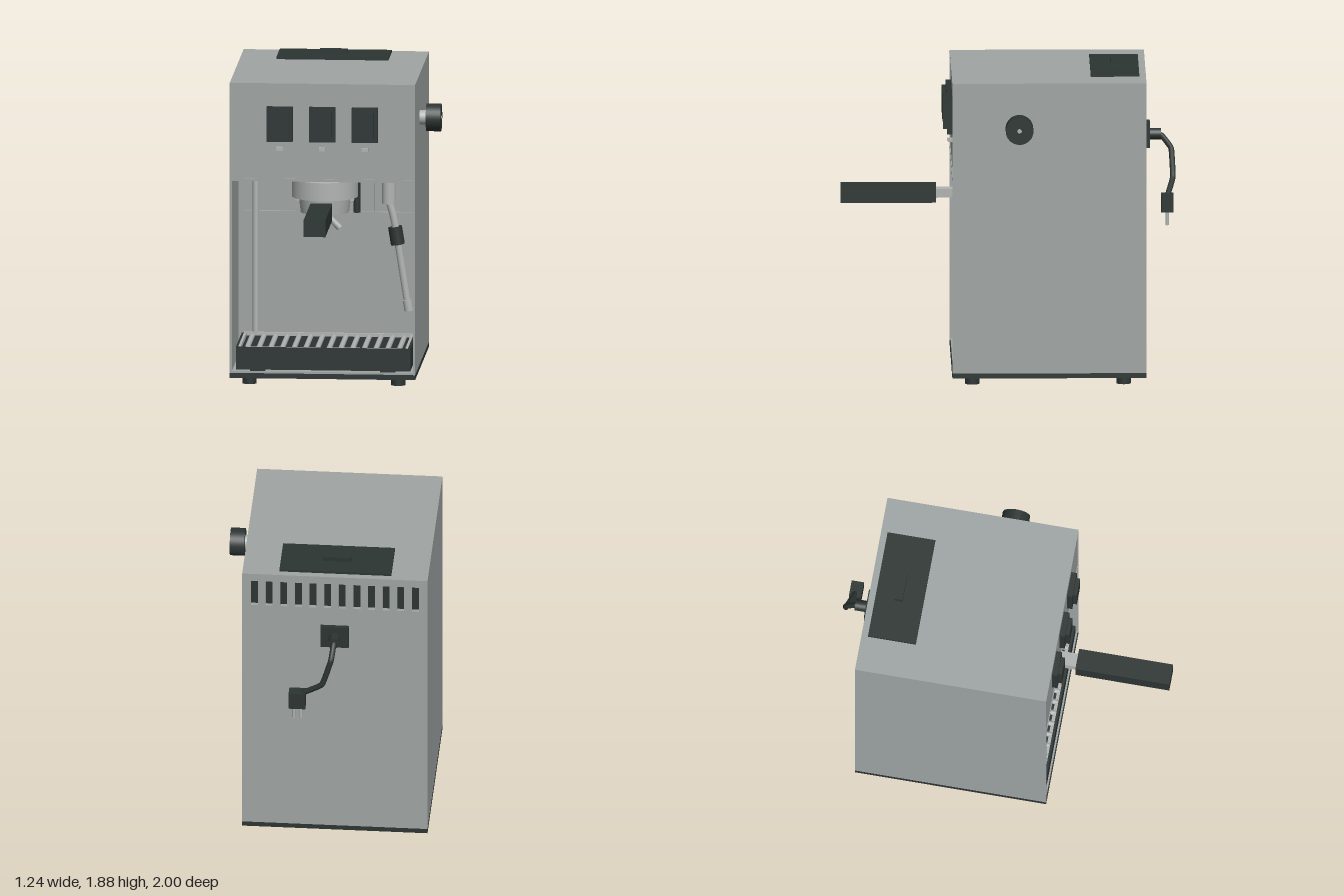
import * as THREE from 'three';

export function createModel() {
  const model = new THREE.Group();
  const mat = (name, color) => {
    const m = new THREE.MeshStandardMaterial({ color });
    m.name = name;
    return m;
  };
  const steel = mat('brushed steel', 0xa0a6a5);
  const chrome = mat('polished steel', 0xb0b4b3);
  const dark = mat('dark plastic', 0x2c3533);
  const CX = -0.065; // centre line of the housing

  const add = (name, geo, m) => {
    const mesh = new THREE.Mesh(geo, m);
    mesh.name = name;
    model.add(mesh);
    return mesh;
  };
  // Box given by its extents on each axis
  const box = (name, m, x0, x1, y0, y1, z0, z1) => {
    const mesh = add(name, new THREE.BoxGeometry(x1 - x0, y1 - y0, z1 - z0), m);
    mesh.position.set((x0 + x1) / 2, (y0 + y1) / 2, (z0 + z1) / 2);
    return mesh;
  };
  // Cylinder between two points
  const rod = (name, m, a, b, r0, r1 = r0, sides = 24) => {
    const p = new THREE.Vector3(...a), q = new THREE.Vector3(...b);
    const d = q.clone().sub(p);
    const mesh = add(name, new THREE.CylinderGeometry(r1, r0, d.length(), sides), m);
    mesh.position.copy(p).add(q).multiplyScalar(0.5);
    mesh.quaternion.setFromUnitVectors(new THREE.Vector3(0, 1, 0), d.normalize());
    return mesh;
  };
  const tube = (name, m, pts, r) => {
    const curve = new THREE.CatmullRomCurve3(pts.map(p => new THREE.Vector3(...p)), false, 'catmullrom', 0.15);
    return add(name, new THREE.TubeGeometry(curve, 32, r, 12), m);
  };

  // Housing shell
  box('basePlate', dark, -0.62, 0.49, 0.05, 0.08, -0.82, 0.34);
  box('rightWall', steel, -0.62, -0.607, 0.08, 1.84, -0.82, 0.34);
  box('leftWall', steel, 0.477, 0.49, 0.08, 1.84, -0.82, 0.34);
  box('topPanel', steel, -0.607, 0.477, 1.828, 1.84, -0.82, 0.34);
  box('frontPanel', steel, -0.607, 0.477, 1.26, 1.828, 0.31, 0.335);
  box('frontLip', steel, -0.607, 0.477, 1.245, 1.262, 0.31, 0.34);
  box('alcoveCeiling', steel, -0.607, 0.477, 1.245, 1.258, -0.2, 0.31);
  box('alcoveFloor', steel, -0.607, 0.477, 0.08, 0.092, -0.2, 0.335);
  box('alcoveBack', steel, -0.607, 0.477, 0.092, 1.245, -0.22, -0.2);
  box('tankPanel', steel, -0.565, 0.44, 0.24, 0.975, -0.2, -0.175);
  box('groupBracket', steel, -0.33, 0.21, 0.975, 1.245, -0.2, -0.19);

  // Back panel with ventilation slots
  const back = new THREE.Shape();
  back.moveTo(-0.607, 0.08).lineTo(0.477, 0.08).lineTo(0.477, 1.828).lineTo(-0.607, 1.828).closePath();
  for (let i = 0; i < 12; i++) {
    const x = CX + (i - 5.5) * 0.0876;
    const slot = new THREE.Path();
    slot.moveTo(x - 0.021, 1.62).lineTo(x - 0.021, 1.79).lineTo(x + 0.021, 1.79).lineTo(x + 0.021, 1.62).closePath();
    back.holes.push(slot);
  }
  add('backPanel', new THREE.ExtrudeGeometry(back, { depth: 0.025, bevelEnabled: false }), steel).position.z = -0.82;
  box('ventBacking', dark, -0.6, 0.47, 1.58, 1.82, -0.785, -0.776);

  // Feet
  for (const x of [-0.51, 0.38]) for (const z of [0.22, -0.685])
    rod('foot', dark, [x, 0, z], [x, 0.05, z], 0.043);

  // Reservoir lid with its grip
  box('reservoirLid', dark, -0.4, 0.27, 1.84, 1.854, -0.78, -0.49);
  box('lidGrip', dark, -0.15, 0.017, 1.854, 1.88, -0.665, -0.615);

  // Rocker switches and indicator lights
  for (const x of [-0.32, CX, 0.19]) {
    box('switchBezel', dark, x - 0.078, x + 0.078, 1.49, 1.7, 0.335, 0.368);
    box('switchRocker', dark, x - 0.055, x + 0.055, 1.52, 1.675, 0.368, 0.392);
    box('indicatorLight', chrome, x - 0.02, x + 0.02, 1.435, 1.455, 0.335, 0.363);
  }

  // Steam knob on the side
  rod('knobShaft', chrome, [0.485, 1.575, -0.06], [0.54, 1.575, -0.06], 0.043);
  rod('steamKnob', dark, [0.53, 1.575, -0.06], [0.618, 1.575, -0.06], 0.083, 0.083, 32);
  rod('knobDot', chrome, [0.617, 1.575, -0.06], [0.62, 1.575, -0.06], 0.013);

  // Drip tray: dark tub, rim and bars
  const [tx0, tx1, tz0, tz1] = [-0.585, 0.46, -0.17, 0.325];
  box('trayFront', dark, tx0, tx1, 0.1, 0.235, tz1 - 0.015, tz1);
  box('trayBack', dark, tx0, tx1, 0.1, 0.235, tz0, tz0 + 0.015);
  box('traySide', dark, tx0, tx0 + 0.015, 0.1, 0.235, tz0, tz1);
  box('traySide', dark, tx1 - 0.015, tx1, 0.1, 0.235, tz0, tz1);
  box('trayFloor', dark, tx0, tx1, 0.1, 0.12, tz0, tz1);
  for (const x of [-0.455, 0.325]) box('trayTab', dark, x - 0.045, x + 0.045, 0.085, 0.1, 0.2, 0.325);
  box('grateRim', chrome, tx0 + 0.015, tx1 - 0.015, 0.225, 0.245, tz0 + 0.015, tz0 + 0.035);
  box('grateRim', chrome, tx0 + 0.015, tx1 - 0.015, 0.215, 0.234, tz1 - 0.035, tz1 - 0.015);
  for (const x of [tx0 + 0.015, tx1 - 0.03])
    box('grateRim', chrome, x, x + 0.015, 0.215, 0.24, tz0 + 0.015, tz1 - 0.015);
  for (let i = 0; i < 14; i++) {
    const x = CX + (i - 6.5) * 0.07;
    rod('grateBar', chrome, [x, 0.222, tz0 + 0.02], [x, 0.222, tz1 - 0.02], 0.016, 0.016, 10);
  }

  // Group head and filter holder
  const gz = 0.13;
  rod('groupHead', chrome, [CX, 1.125, gz], [CX, 1.235, gz], 0.198, 0.198, 40);
  rod('groupMount', chrome, [CX, 1.23, gz], [CX, 1.247, gz], 0.16, 0.16, 40);
  rod('filterBasket', chrome, [CX, 1.03, gz], [CX, 1.13, gz], 0.145, 0.158, 40);
  for (const s of [-1, 1])
    box('basketLug', chrome, CX + s * 0.15 - 0.025, CX + s * 0.15 + 0.025, 1.1, 1.145, gz - 0.03, gz + 0.03);
  box('holderNeck', chrome, -0.107, -0.023, 1.053, 1.105, 0.24, 0.44);
  box('holderHandle', dark, -0.13, 0, 1.027, 1.13, 0.43, 1.0);
  for (const s of [-1, 1]) {
    const spout = tube('spout', chrome, [[CX + s * 0.02, 1.04, gz], [CX + s * 0.032, 0.99, gz], [CX + s * 0.088, 0.932, gz]], 0.019);
    spout.material = chrome;
    rod('spoutTip', dark, [CX + s * 0.084, 0.936, gz], [CX + s * 0.086, 0.934, gz], 0.017);
  }

  // Water pipe and hose against the back of the alcove
  rod('waterPipe', chrome, [-0.492, 0.265, -0.05], [-0.492, 1.247, -0.05], 0.019);
  rod('hose', dark, [0.105, 0.975, -0.165], [0.105, 1.245, -0.165], 0.021);

  // Steam wand
  const wz = 0.16;
  rod('wandJoint', chrome, [0.322, 1.09, wz], [0.322, 1.247, wz], 0.042);
  tube('wandPipe', chrome, [[0.322, 1.1, wz], [0.34, 1.04, wz], [0.36, 0.95, wz], [0.435, 0.47, wz]], 0.022);
  rod('wandGrip', dark, [0.374, 0.842, wz], [0.357, 0.948, wz], 0.042);
  rod('wandTip', chrome, [0.441, 0.44, wz], [0.43, 0.505, wz], 0.028);

  // Power inlet, cord and plug
  box('powerInlet', dark, -0.15, 0.02, 1.36, 1.5, -0.848, -0.82);
  rod('cordSleeve', dark, [CX, 1.43, -0.848], [CX, 1.43, -0.915], 0.034);
  tube('powerCord', dark, [[CX, 1.43, -0.89], [CX, 1.425, -0.915], [-0.053, 1.345, -0.975], [0, 1.18, -0.984], [0.13, 1.09, -0.95]], 0.017);
  box('plug', dark, 0.1, 0.2, 1.0, 1.105, -0.985, -0.912);
  for (const x of [0.13, 0.17]) rod('plugProng', chrome, [x, 0.92, -0.948], [x, 1.005, -0.948], 0.011, 0.011, 12);

  return model;
}
